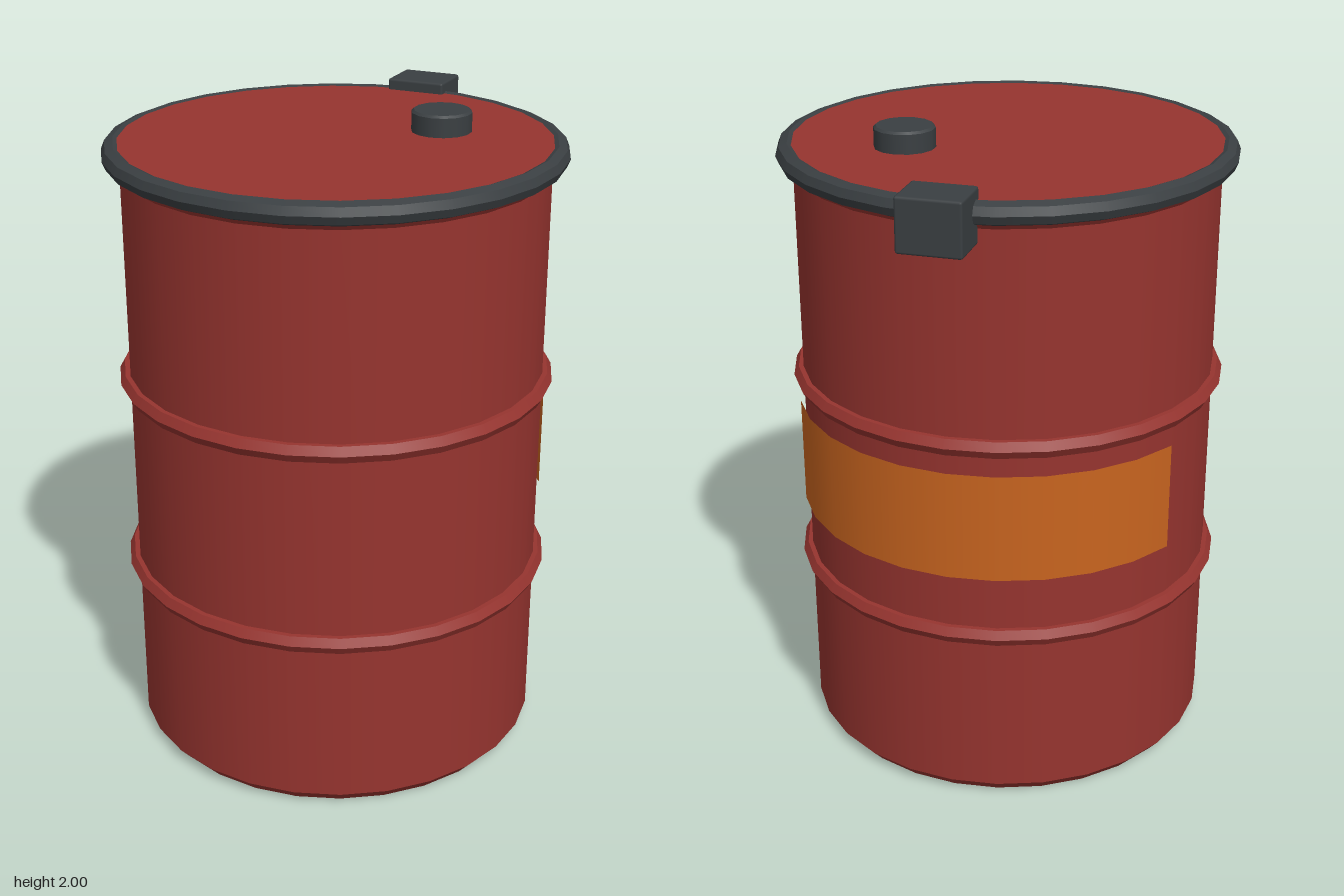
import * as THREE from 'three';
import { mergeGeometries } from 'three/addons/utils/BufferGeometryUtils.js';
import { RoundedBoxGeometry } from 'three/addons/geometries/RoundedBoxGeometry.js';

const SIDES = 28;
const paint = new THREE.MeshStandardMaterial({ color: 0x96342f });
const metal = new THREE.MeshStandardMaterial({ color: 0x3a3f42 });
const band = new THREE.MeshStandardMaterial({ color: 0xc8641f, side: THREE.DoubleSide });

// Lathe that is smooth around the axis and creased at each profile point.
function creasedLathe(profile, sides = SIDES) {
  const strips = [];
  for (let i = 0; i < profile.length - 1; i++) {
    const pair = [profile[i], profile[i + 1]].map(([r, y]) => new THREE.Vector2(r, y));
    strips.push(new THREE.LatheGeometry(pair, sides));
  }
  return mergeGeometries(strips);
}

// Closed ring with a regular polygon as its section.
function ringProfile(radius, tube, y, corners) {
  return Array.from({ length: corners + 1 }, (_, i) => {
    const a = (i / corners) * Math.PI * 2;
    return [radius + tube * Math.cos(a), y + tube * Math.sin(a)];
  });
}

export function createModel() {
  const model = new THREE.Group();
  model.name = 'drum';
  const add = (name, geometry, material, x = 0, y = 0, z = 0) => {
    const mesh = new THREE.Mesh(geometry, material);
    mesh.name = name;
    mesh.position.set(x, y, z);
    model.add(mesh);
  };
  const axisZ = 0.04;

  // Body with chamfered foot, flared neck and flat lid
  add('body', creasedLathe([
    [0, 0], [0.61, 0], [0.645, 0.04], [0.645, 1.855], [0.67, 1.89],
  ]), paint, 0, 0, axisZ);
  add('lid', creasedLathe([[0.665, 1.89], [0.665, 1.935], [0, 1.935]]), paint, 0, 0, axisZ);

  // Two rolling hoops
  for (const [name, y] of [['lowerHoop', 0.583], ['upperHoop', 1.205]]) {
    add(name, creasedLathe(ringProfile(0.645, 0.03, y, 6)), paint, 0, 0, axisZ);
  }

  // Clamp ring around the lid
  add('clampRing', creasedLathe(ringProfile(0.66, 0.035, 1.905, 8)), metal, 0, 0, axisZ);

  // Clamp latch at the back
  add('latch', new RoundedBoxGeometry(0.19, 0.16, 0.155, 1, 0.008), metal, 0, 1.89, -0.655);

  // Filler cap on the lid
  add('fillerCap', creasedLathe([
    [0.092, 1.93], [0.092, 1.993], [0.085, 2], [0, 2],
  ], 14), metal, 0.258, 0, -0.158);

  // Label band wrapped around the back
  add('labelBand', new THREE.CylinderGeometry(0.66, 0.66, 0.34, 10, 1, true, Math.PI - 1.1, 2.2),
    band, 0, 0.95, axisZ);

  return model;
}
